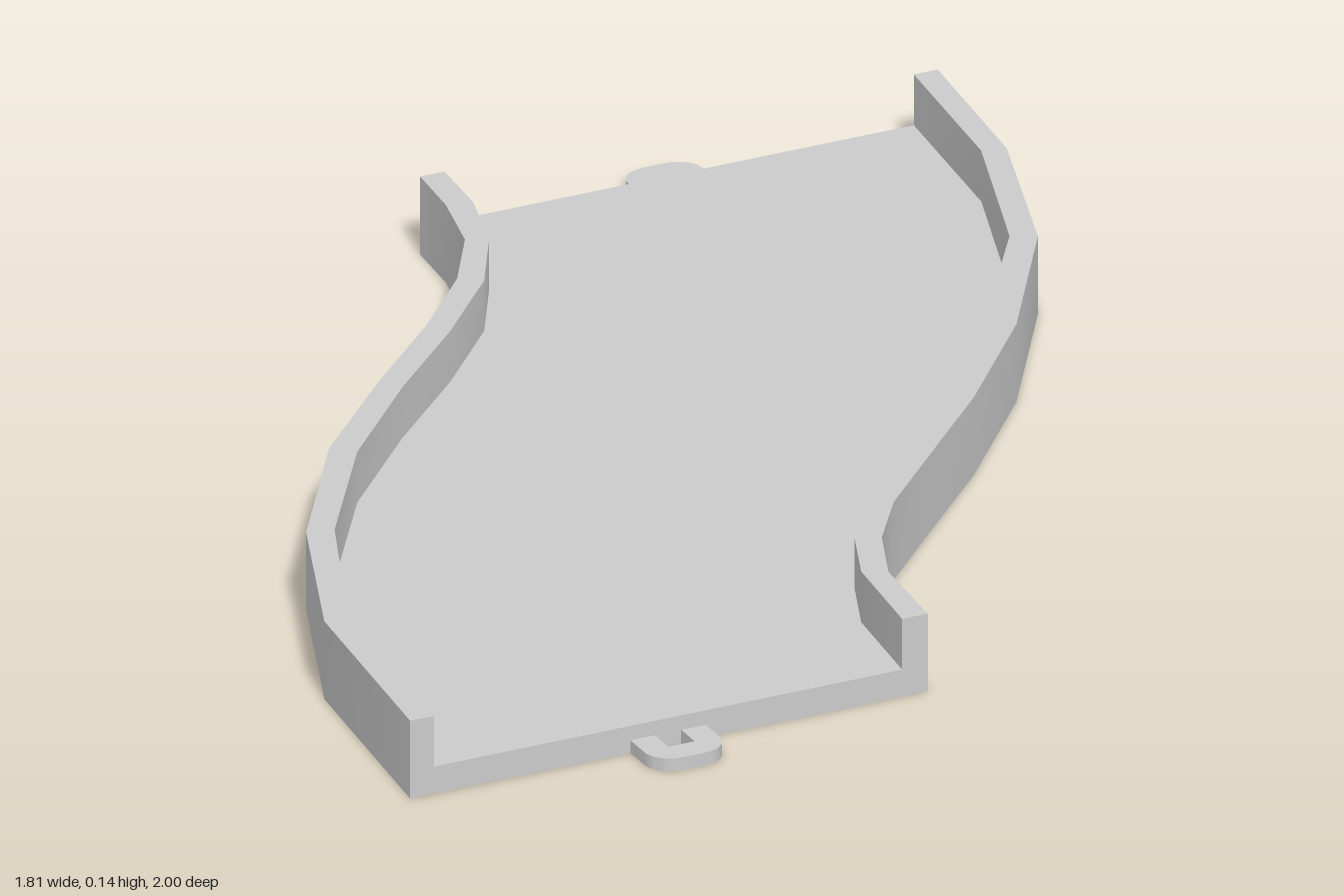
import * as THREE from 'three';
import { toCreasedNormals } from 'three/addons/utils/BufferGeometryUtils.js';

const FLOOR = 0.047, TOP = 0.135, END = 0.907, TAB = 0.022;

// Edges of the two rails as [x, z], from the front end to the back end
const leftOuter = [[-0.907, END], [-0.865, 0.515], [-0.745, 0.205], [-0.575, -0.06], [-0.395, -0.25],
  [-0.235, -0.405], [-0.115, -0.54], [-0.04, -0.665], [-0.01, -0.795], [0, -END]];
const leftInner = [[-0.865, END], [-0.823, 0.515], [-0.7, 0.215], [-0.54, -0.03], [-0.37, -0.215],
  [-0.21, -0.37], [-0.08, -0.515], [-0.005, -0.65], [0.033, -0.785], [0.043, -END]];
const rightInner = [[-0.045, END], [-0.025, 0.72], [0.02, 0.605], [0.1, 0.485], [0.23, 0.34],
  [0.39, 0.175], [0.565, -0.04], [0.735, -0.3], [0.835, -0.605], [0.865, -END]];
const rightOuter = [[0, END], [0.013, 0.74], [0.06, 0.62], [0.135, 0.51], [0.265, 0.375],
  [0.42, 0.215], [0.6, 0], [0.775, -0.28], [0.875, -0.595], [0.907, -END]];

// U-shaped cross-section lofted along the bend, with closed ends
function trackGeometry() {
  const corners = [[leftOuter, 0], [rightOuter, 0], [rightOuter, TOP], [rightInner, TOP],
    [rightInner, FLOOR], [leftInner, FLOOR], [leftInner, TOP], [leftOuter, TOP]];
  const n = corners.length, last = leftOuter.length - 1;
  const positions = [], index = [];
  const quad = (a, b, c, d) => index.push(a, b, c, a, c, d);

  for (let k = 0; k <= last; k++) {
    for (const [edge, y] of corners) positions.push(edge[k][0], y, edge[k][1]);
  }
  for (let k = 0; k < last; k++) {
    for (let i = 0; i < n; i++) {
      const j = (i + 1) % n;
      quad(k * n + i, (k + 1) * n + i, (k + 1) * n + j, k * n + j);
    }
  }
  // end caps: floor slab and the two rail ends
  for (const [a, b, c, d] of [[0, 1, 4, 5], [1, 2, 3, 4], [0, 5, 6, 7]]) {
    const o = last * n;
    quad(a, b, c, d);
    quad(o + d, o + c, o + b, o + a);
  }
  const geometry = new THREE.BufferGeometry();
  geometry.setAttribute('position', new THREE.Float32BufferAttribute(positions, 3));
  geometry.setIndex(index);
  return toCreasedNormals(geometry, Math.PI / 6);
}

// Flat U-shaped loop with rounded outer corners, pointing to +z
function loopGeometry() {
  const w = 0.066, h = 0.023, len = 1 - END, notch = 0.048, r = 0.045;
  const shape = new THREE.Shape();
  shape.moveTo(-w, 0);
  shape.lineTo(-h, 0);
  shape.lineTo(-h, notch);
  shape.lineTo(h, notch);
  shape.lineTo(h, 0);
  shape.lineTo(w, 0);
  shape.lineTo(w, len - r);
  shape.absarc(w - r, len - r, r, 0, Math.PI / 2);
  shape.lineTo(-w + r, len);
  shape.absarc(-w + r, len - r, r, Math.PI / 2, Math.PI);
  shape.closePath();
  const geometry = new THREE.ExtrudeGeometry(shape, { depth: TAB, bevelEnabled: false, curveSegments: 4 });
  geometry.rotateX(Math.PI / 2).translate(0, TAB, 0);
  return toCreasedNormals(geometry, Math.PI / 5);
}

export function createModel() {
  const model = new THREE.Group();
  model.name = 'curvedTrackPiece';
  const material = new THREE.MeshStandardMaterial({ color: 0xcccccc });

  const track = new THREE.Mesh(trackGeometry(), material);
  track.name = 'trackBed';
  model.add(track);

  // connector loops, one at each end
  const loop = loopGeometry();
  for (const side of [1, -1]) {
    const connector = new THREE.Mesh(loop, material);
    connector.name = side > 0 ? 'frontConnector' : 'backConnector';
    connector.position.set(-0.455 * side, 0, END * side);
    connector.rotation.y = side > 0 ? 0 : Math.PI;
    model.add(connector);
  }
  return model;
}
